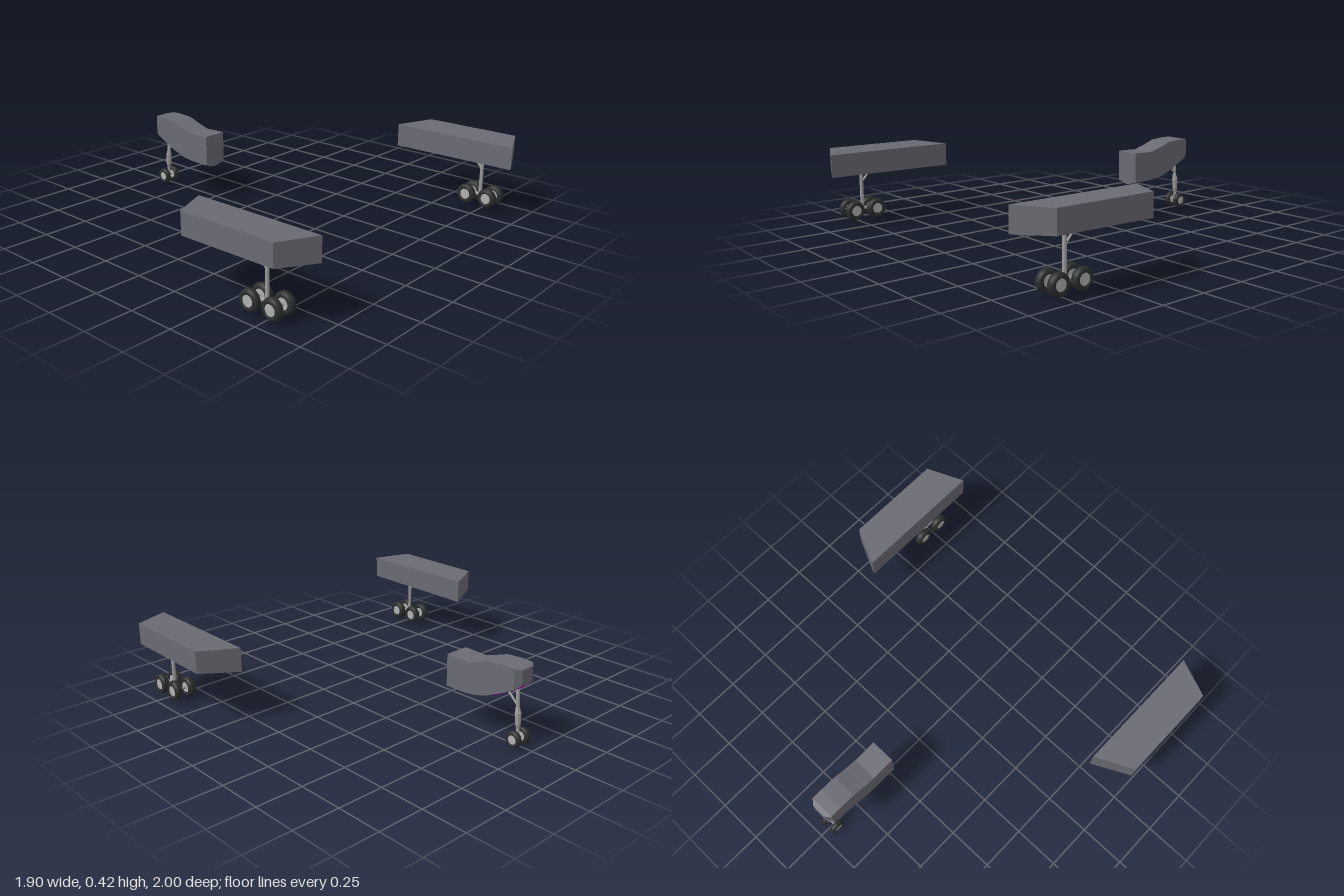
import * as THREE from 'three';

const mat = (name, color) => Object.assign(new THREE.MeshStandardMaterial({ color }), { name });
const V = (x, y, z) => new THREE.Vector3(x, y, z);

export function createModel() {
  const skin = mat('grey skin', 0x6a6a73);
  const belly = mat('magenta underside', 0xc000c0);
  const rubber = mat('dark rubber', 0x2c2e2e);
  const metal = mat('strut metal', 0x9c9c9c);
  const rim = mat('wheel rim', 0xb0b0b0);
  const model = new THREE.Group();
  model.name = 'landingGear';

  function add(parent, name, geometry, material) {
    const mesh = new THREE.Mesh(geometry, material);
    mesh.name = name;
    parent.add(mesh);
    return mesh;
  }

  // Closed flat-faced body through rings of points; the listed ring sides form the underside
  function loft(parent, name, rings, underSides) {
    const skinPos = [], underPos = [];
    const fan = (out, pts) => {
      for (let i = 1; i < pts.length - 1; i++) {
        for (const p of [pts[0], pts[i], pts[i + 1]]) out.push(...p);
      }
    };
    for (let r = 0; r < rings.length - 1; r++) {
      const a = rings[r], b = rings[r + 1], n = a.length;
      for (let i = 0; i < n; i++) {
        const j = (i + 1) % n;
        fan(underSides.includes(i) ? underPos : skinPos, [a[i], a[j], b[j], b[i]]);
      }
    }
    fan(skinPos, [...rings[0]].reverse());
    fan(skinPos, rings[rings.length - 1]);
    const build = (pos) => {
      const g = new THREE.BufferGeometry();
      g.setAttribute('position', new THREE.Float32BufferAttribute(pos, 3));
      g.computeVertexNormals();
      return g;
    };
    add(parent, name + 'Shell', build(skinPos), skin);
    add(parent, name + 'Underside', build(underPos), belly);
  }

  // Tapered rod from a to b
  function rod(parent, name, a, b, ra, rb = ra) {
    const dir = b.clone().sub(a);
    const mesh = add(parent, name, new THREE.CylinderGeometry(rb, ra, dir.length(), 12), metal);
    mesh.position.copy(a).addScaledVector(dir, 0.5);
    mesh.quaternion.setFromUnitVectors(V(0, 1, 0), dir.normalize());
    return mesh;
  }

  // Tyre with rounded shoulders and a rim showing on both sides
  function wheel(parent, x, y, z, radius, width) {
    const g = new THREE.Group();
    g.name = 'wheel';
    g.position.set(x, y, z);
    g.rotation.x = Math.PI / 2;
    const h = width / 2;
    const half = [[0.5, 0.75], [0.62, 1], [0.82, 0.95], [0.95, 0.65], [1, 0.25]];
    const profile = [
      ...half.map(([r, t]) => new THREE.Vector2(r * radius, -t * h)),
      ...half.reverse().map(([r, t]) => new THREE.Vector2(r * radius, t * h)),
    ];
    add(g, 'tyre', new THREE.LatheGeometry(profile, 24), rubber);
    add(g, 'rim', new THREE.CylinderGeometry(radius * 0.53, radius * 0.53, width * 0.82, 20), rim);
    parent.add(g);
  }

  // Nose section: x, top, side bottom, keel, half width
  const nose = new THREE.Group();
  nose.name = 'noseGear';
  model.add(nose);
  const stations = [
    [-0.945, 0.415, 0.335, 0.331, 0.04],
    [-0.92, 0.42, 0.315, 0.308, 0.068],
    [-0.86, 0.422, 0.283, 0.271, 0.068],
    [-0.77, 0.416, 0.24, 0.223, 0.068],
    [-0.7, 0.392, 0.218, 0.202, 0.068],
    [-0.63, 0.372, 0.207, 0.192, 0.068],
    [-0.5, 0.376, 0.205, 0.187, 0.068],
  ];
  loft(nose, 'noseBay', stations.map(([x, top, side, keel, w]) => [
    [x, top, -w], [x, top, w], [x, side, w], [x, keel, 0], [x, side, -w],
  ]), [2, 3]);

  // Nose leg with its thicker shock absorber, brace and twin wheels
  rod(nose, 'upperLeg', V(-0.893, 0.32, 0), V(-0.902, 0.17, 0), 0.009);
  rod(nose, 'shockTop', V(-0.899, 0.205, 0), V(-0.903, 0.172, 0), 0.009, 0.016);
  rod(nose, 'shockBody', V(-0.903, 0.172, 0), V(-0.906, 0.112, 0), 0.016, 0.014);
  rod(nose, 'shockFoot', V(-0.906, 0.112, 0), V(-0.907, 0.092, 0), 0.014, 0.008);
  rod(nose, 'lowerLeg', V(-0.907, 0.1, 0), V(-0.91, 0.04, 0), 0.008);
  rod(nose, 'brace', V(-0.897, 0.21, 0), V(-0.825, 0.28, 0), 0.006);
  rod(nose, 'axle', V(-0.91, 0.044, -0.035), V(-0.91, 0.044, 0.035), 0.008);
  for (const s of [-1, 1]) wheel(nose, -0.91, 0.044, s * 0.033, 0.044, 0.031);

  // Main gear, one on each side
  for (const s of [1, -1]) {
    const gear = new THREE.Group();
    gear.name = s > 0 ? 'mainGearFront' : 'mainGearBack';
    model.add(gear);

    // Wing section, tapering outward
    const inner = [[0.215, 0.403, s * 0.8], [0.215, 0.275, s * 0.8], [0.945, 0.284, s * 0.8], [0.945, 0.408, s * 0.8]];
    const outer = [[0.31, 0.41, s], [0.31, 0.292, s], [0.855, 0.299, s], [0.855, 0.415, s]];
    loft(gear, 'wingBay', s > 0 ? [inner, outer] : [outer, inner], [1]);

    // Leg, brace and four-wheel bogie
    const z = s * 0.893;
    rod(gear, 'leg', V(0.725, 0.06, z), V(0.725, 0.31, z), 0.01);
    rod(gear, 'brace', V(0.725, 0.22, z), V(0.66, 0.292, z), 0.006);
    rod(gear, 'bogieBeam', V(0.66, 0.07, z), V(0.79, 0.07, z), 0.01);
    for (const x of [0.66, 0.79]) {
      rod(gear, 'axle', V(x, 0.07, z - 0.04), V(x, 0.07, z + 0.04), 0.008);
      for (const side of [-1, 1]) wheel(gear, x, 0.071, z + side * 0.04, 0.054, 0.042);
    }
  }
  return model;
}
